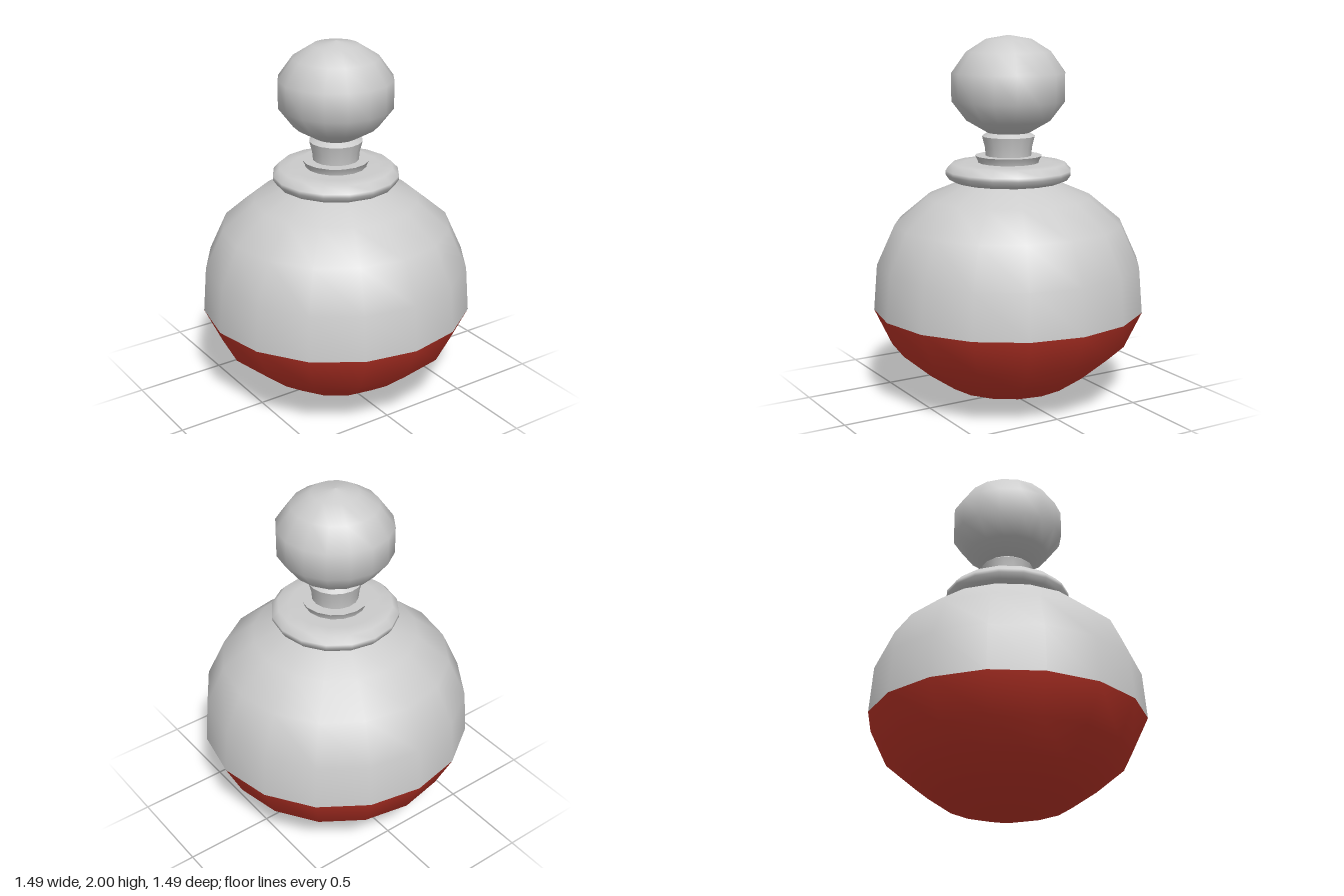
import * as THREE from 'three';

const SIDES = 16;

// Revolve a bottom-to-top profile of [radius, height] pairs
function turned(name, profile, color = 0xcccccc) {
  const points = profile.map(([r, y]) => new THREE.Vector2(r, y));
  const material = new THREE.MeshStandardMaterial({ color, side: THREE.DoubleSide });
  const mesh = new THREE.Mesh(new THREE.LatheGeometry(points, SIDES), material);
  mesh.name = name;
  return mesh;
}

export function createModel() {
  const group = new THREE.Group();
  group.name = 'potionBottle';

  // Liquid filling the lower half of the flask
  group.add(turned('liquid', [
    [0, 0], [0.13, 0.015], [0.345, 0.08], [0.49, 0.18], [0.65, 0.315], [0.745, 0.515],
  ], 0xc8372a));

  // Empty upper half of the flask, narrowing to the shoulder
  group.add(turned('flaskGlass', [
    [0.745, 0.515], [0.725, 0.765], [0.625, 0.985], [0.45, 1.13], [0.25, 1.215],
  ]));

  // Rounded collar around the mouth
  group.add(turned('collar', [
    [0.15, 1.212], [0.29, 1.212], [0.325, 1.225], [0.345, 1.255],
    [0.345, 1.275], [0.31, 1.312], [0.24, 1.315], [0.1, 1.315],
  ]));

  // Flared lip: side and top are separate so the rim stays sharp
  group.add(turned('lipSide', [[0.165, 1.31], [0.17, 1.33], [0.183, 1.353]]));
  group.add(turned('lipTop', [[0.183, 1.353], [0.1, 1.353]]));

  // Stopper stem, widening upwards
  group.add(turned('stopperStem', [[0.125, 1.35], [0.13, 1.4], [0.145, 1.458]]));
  group.add(turned('stopperShoulder', [[0.145, 1.458], [0.115, 1.478]]));

  // Round stopper knob
  group.add(turned('stopperKnob', [
    [0, 1.465], [0.115, 1.478], [0.23, 1.545], [0.31, 1.65],
    [0.31, 1.8], [0.23, 1.912], [0.125, 1.978], [0, 2],
  ]));

  return group;
}
